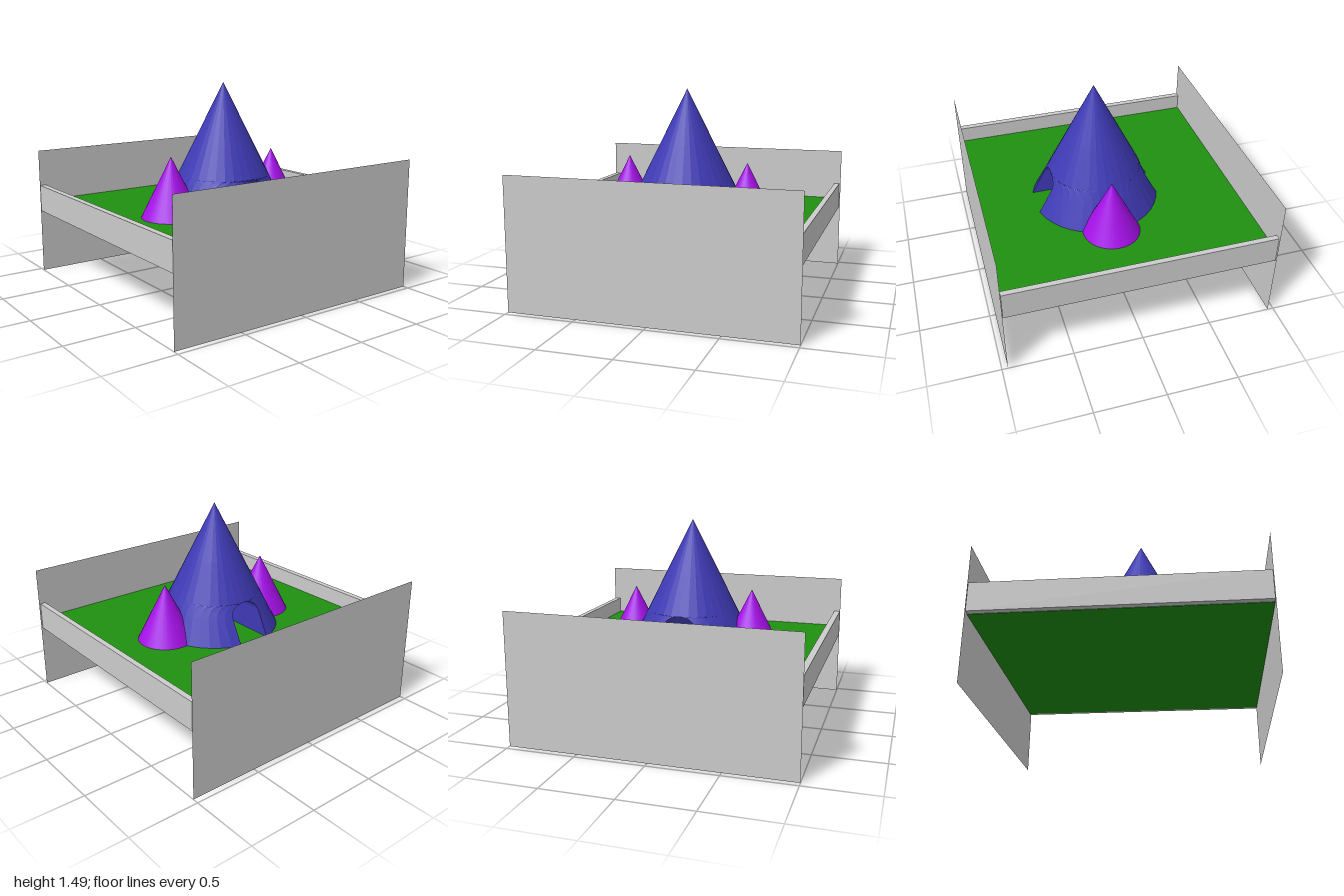
import * as THREE from 'three';

const GROUND = 0.56, APEX = 1.49, SLOPE = 0.5, CENTRE_Z = 0.07;
const DOOR_HALF = 0.12, SPRING = 0.74, ARCH_TOP = 0.825;

const material = (color, extra = {}) => new THREE.MeshStandardMaterial({ color, ...extra });

function addMesh(parent, name, geometry, mat, x = 0, y = 0, z = 0) {
  const mesh = new THREE.Mesh(geometry, mat);
  mesh.name = name;
  mesh.position.set(x, y, z);
  parent.add(mesh);
  return mesh;
}

// Surface through a list of equally long rows of points
function loft(rows) {
  const n = rows[0].length, index = [];
  for (let i = 0; i < rows.length - 1; i++) {
    for (let j = 0; j < n - 1; j++) {
      const a = i * n + j, b = a + n;
      index.push(a, a + 1, b, b, a + 1, b + 1);
    }
  }
  const geometry = new THREE.BufferGeometry();
  geometry.setAttribute('position', new THREE.Float32BufferAttribute(rows.flat(2), 3));
  geometry.setIndex(index);
  geometry.computeVertexNormals();
  return geometry;
}

// Half-width of the arched passage at height y
function doorHalf(y) {
  if (y >= ARCH_TOP) return 0;
  if (y <= SPRING) return DOOR_HALF;
  return DOOR_HALF * Math.sqrt(1 - ((y - SPRING) / (ARCH_TOP - SPRING)) ** 2);
}

// Cone pierced from front to back by an arched passage
function buildTent(mat) {
  const tent = new THREE.Group();
  tent.name = 'mainCone';
  tent.position.z = CENTRE_Z;

  const heights = [GROUND, SPRING];
  for (let i = 1; i <= 12; i++) {
    heights.push(SPRING + (ARCH_TOP - SPRING) * Math.sin((i / 12) * Math.PI / 2));
  }
  heights.push(1.1, APEX - 0.0005);

  for (const side of [1, -1]) {
    // Outer skin, from the front jamb round to the back jamb
    const skin = heights.map((y) => {
      const r = (APEX - y) * SLOPE;
      const start = Math.asin(doorHalf(y) / r);
      return Array.from({ length: 17 }, (_, j) => {
        const a = start + (Math.PI - 2 * start) * (j / 16);
        return [side * r * Math.sin(a), y, r * Math.cos(a)];
      });
    });
    addMesh(tent, side > 0 ? 'leftConeSkin' : 'rightConeSkin', loft(skin), mat);

    // Passage wall and half of its vault
    const wall = heights.filter((y) => y <= ARCH_TOP + 1e-6).map((y) => {
      const r = (APEX - y) * SLOPE, w = doorHalf(y);
      const z = Math.sqrt(r * r - w * w);
      return [[side * w, y, z], [side * w, y, -z]];
    });
    addMesh(tent, side > 0 ? 'leftPassageWall' : 'rightPassageWall', loft(wall), mat);
  }
  return tent;
}

export function createModel() {
  const model = new THREE.Group();
  model.name = 'conesInTray';
  const grey = material(0xcccccc);
  const greyThin = material(0xcccccc, { side: THREE.DoubleSide });
  const green = material(0x1f9010);
  const blue = material(0x3f3ab5, { side: THREE.DoubleSide, flatShading: true });
  const purple = material(0xa510e8);

  // Ground slab
  addMesh(model, 'ground', new THREE.BoxGeometry(1.91, 0.083, 1.912), green, 0, GROUND - 0.0415, 0);

  // Tall thin panels at front and back
  for (const side of [1, -1]) {
    addMesh(model, side > 0 ? 'frontPanel' : 'backPanel',
      new THREE.PlaneGeometry(2, 0.95), greyThin, 0, 0.475, side * 0.958);
  }

  // Low side boards
  addMesh(model, 'leftBoard', new THREE.BoxGeometry(0.04, 0.2, 1.908), grey, 0.97, 0.58, 0);
  addMesh(model, 'rightBoard', new THREE.BoxGeometry(0.045, 0.2, 1.908), grey, -0.9755, 0.58, 0);

  // Large central cone with its passage
  model.add(buildTent(blue));

  // Small flanking cones
  for (const [name, x, top] of [['leftCone', 0.45, 0.97], ['rightCone', -0.45, 0.99]]) {
    const h = top - GROUND;
    addMesh(model, name, new THREE.ConeGeometry(h * SLOPE, h, 32), purple, x, GROUND + h / 2, CENTRE_Z);
  }
  return model;
}
